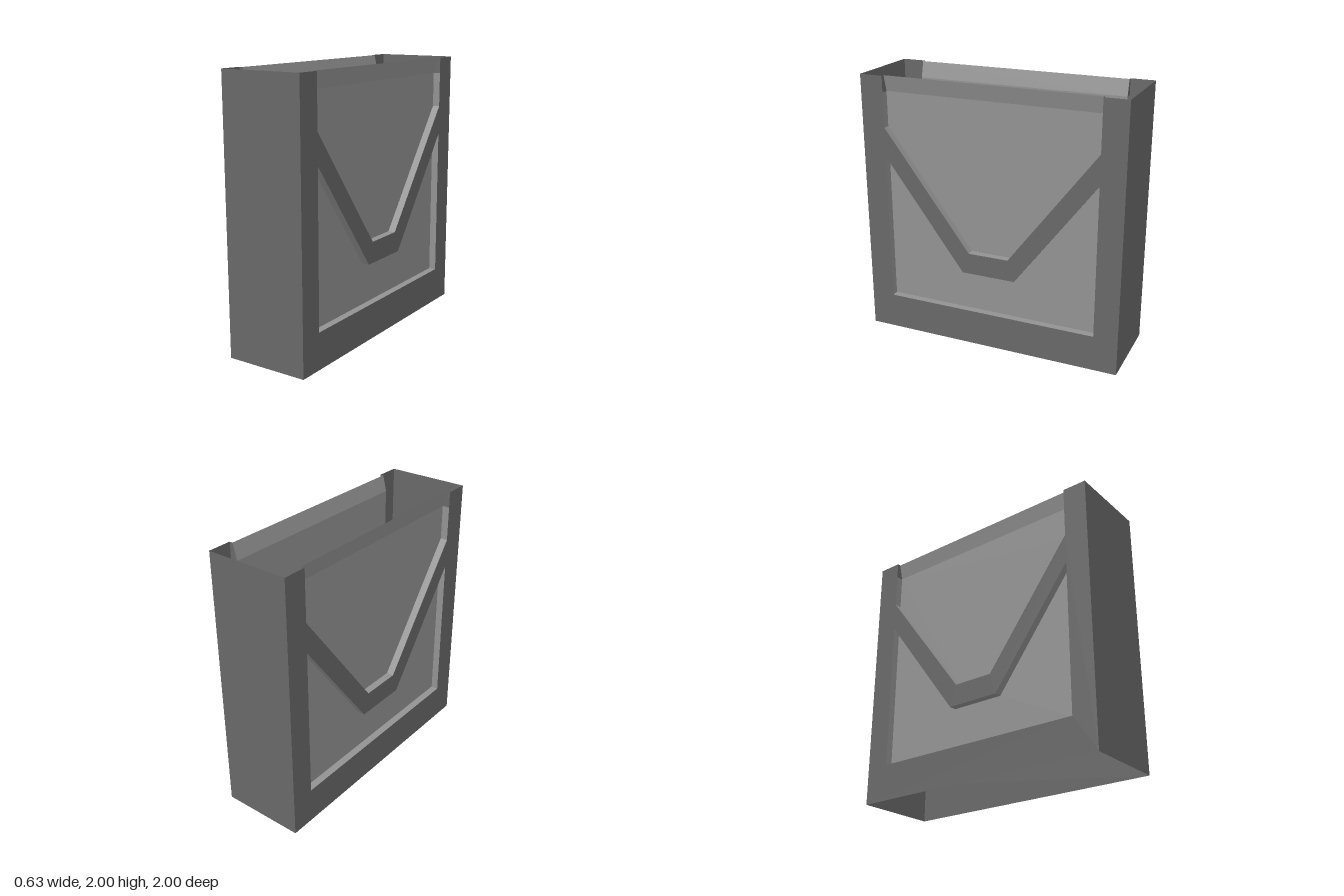
import * as THREE from 'three';

const OUTER = 0.315, INNER = 0.26, LIP = 0.29; // depths of frame, recessed panel and its top edge

export function createModel() {
  const frameMat = new THREE.MeshStandardMaterial({ color: 0x686868, side: THREE.DoubleSide });
  frameMat.name = 'dark grey';
  const panelMat = new THREE.MeshStandardMaterial({ color: 0x929292, side: THREE.DoubleSide });
  panelMat.name = 'light grey';

  const add = (group, name, geometry, material) => {
    const mesh = new THREE.Mesh(geometry, material);
    mesh.name = name;
    group.add(mesh);
    return mesh;
  };
  const toVectors = (pts) => pts.map(([x, y]) => new THREE.Vector2(x, y));
  const sheet = (pts, depth, hole) => {
    const shape = new THREE.Shape(toVectors(pts));
    if (hole) shape.holes.push(new THREE.Path(toVectors(hole)));
    return new THREE.ShapeGeometry(shape).translate(0, 0, depth);
  };
  // Flat quads, each given by four corners
  const quads = (list) => {
    const pos = list.flatMap(([a, b, c, d]) => [a, b, c, a, c, d]).flat();
    const g = new THREE.BufferGeometry();
    g.setAttribute('position', new THREE.Float32BufferAttribute(pos, 3));
    g.computeVertexNormals();
    return g;
  };
  // Reveal running along a path, from the frame back to the panel
  const reveal = (pts) => quads(pts.slice(1).map(([x, y], i) => {
    const [px, py] = pts[i];
    return [[px, py, OUTER], [px, py, INNER], [x, y, INNER], [x, y, OUTER]];
  }));

  // Outlines of the two recesses
  const upper = [[-0.82, 1.88], [-0.82, 1.62], [-0.155, 0.74], [0.155, 0.74], [0.82, 1.62], [0.82, 1.88]];
  const lower = [[-0.82, 0.27], [0.82, 0.27], [0.82, 1.4], [0.205, 0.58], [-0.205, 0.58], [-0.82, 1.4]];
  const outline = [[-1, 2], [-1, 0], [1, 0], [1, 2], [0.82, 2],
    ...upper.slice(1, -1).reverse(), [-0.82, 2]];

  const buildSide = (name, angle) => {
    const side = new THREE.Group();
    side.name = name;
    add(side, 'frame', sheet(outline, OUTER, lower), frameMat);
    add(side, 'upperPanel', sheet(upper, INNER), panelMat);
    add(side, 'lowerPanel', sheet(lower, INNER), panelMat);
    add(side, 'upperReveal', reveal(upper), panelMat);
    add(side, 'lowerReveal', reveal([...lower, lower[0]]), panelMat);
    // Top of the panel leans outwards
    add(side, 'leaningLip', quads([[[-0.82, 1.88, INNER], [0.82, 1.88, INNER],
      [0.82, 2, LIP], [-0.82, 2, LIP]]]), panelMat);
    // Tapering ends beside the lip
    add(side, 'lipEnds', quads([
      [[-0.82, 1.88, OUTER], [-0.82, 1.88, INNER], [-0.82, 2, LIP], [-0.82, 2, OUTER]],
      [[0.82, 1.88, INNER], [0.82, 1.88, OUTER], [0.82, 2, OUTER], [0.82, 2, LIP]],
    ]), frameMat);
    side.rotation.y = angle;
    return side;
  };

  const model = new THREE.Group();
  model.name = 'openPanelledBin';
  model.add(buildSide('leftSide', Math.PI / 2), buildSide('rightSide', -Math.PI / 2));

  // Plain end walls; top and bottom stay open
  for (const [name, s] of [['frontWall', 1], ['backWall', -1]]) {
    const wall = add(model, name, new THREE.PlaneGeometry(OUTER * 2, 2), frameMat);
    wall.position.set(0, 1, s);
    if (s < 0) wall.rotation.y = Math.PI;
  }
  return model;
}
